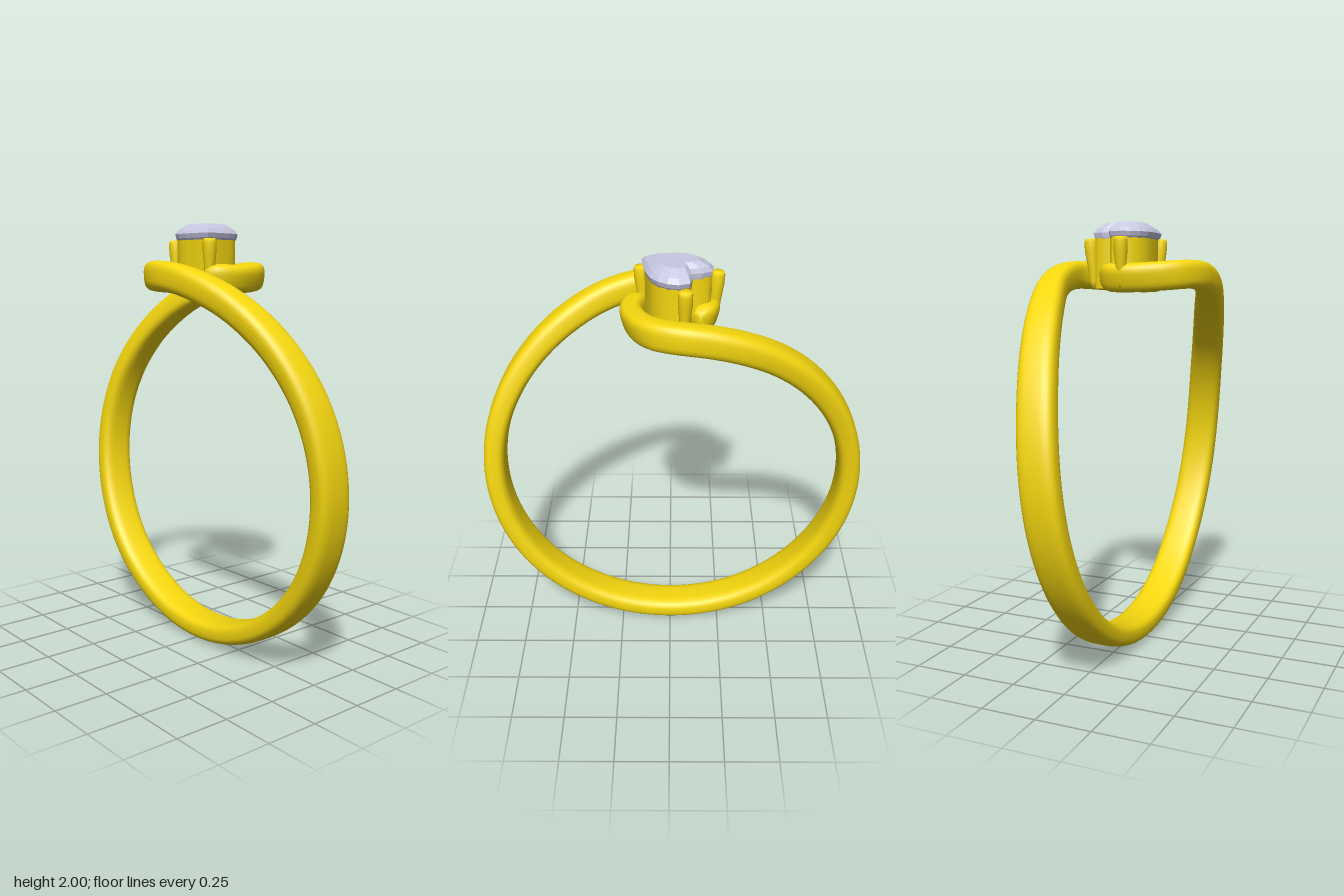
import * as THREE from 'three';

const GOLD = new THREE.MeshStandardMaterial({ color: 0xf5d70f });
const GOLD_OPEN = new THREE.MeshStandardMaterial({ color: 0xf5d70f, side: THREE.DoubleSide });
const GEM = new THREE.MeshStandardMaterial({ color: 0xc8c8e2, flatShading: true });
const CENTRE_Y = 0.905, MID_R = 0.86;

// Half of the band as [arc length from the top, z, half width]; the other half is its half-turn.
const HALF_BAND = [
  [-0.115, -0.10, 0.045], [-0.15, -0.05, 0.048], [-0.165, 0.02, 0.05], [-0.152, 0.1, 0.05],
  [-0.115, 0.185, 0.05], [-0.055, 0.25, 0.052], [0.04, 0.286, 0.054], [0.16, 0.287, 0.058],
  [0.31, 0.263, 0.064], [0.516, 0.205, 0.074], [0.76, 0.14, 0.08], [1.015, 0.085, 0.084],
  [1.35, 0.04, 0.087], [1.89, 0.003, 0.09], [2.3, 0, 0.09],
];

function bandGeometry() {
  const turn = 2 * Math.PI * MID_R;
  const pts = HALF_BAND.map((p) => new THREE.Vector3(...p));
  pts.push(new THREE.Vector3(turn / 2, 0, 0.09));
  for (const [s, z, w] of [...HALF_BAND].reverse()) pts.push(new THREE.Vector3(turn - s, -z, w));
  const path = new THREE.CatmullRomCurve3(pts);
  const N = 260, M = 28, pos = [], idx = [];
  const signedPow = (v, e) => Math.sign(v) * Math.abs(v) ** e;
  const put = (s, z, r) => {
    const u = s / MID_R;
    pos.push(r * Math.sin(u), CENTRE_Y + r * Math.cos(u), z);
  };
  for (let i = 0; i <= N; i++) {
    const p = path.getPointAt(i / N), t = path.getTangentAt(i / N);
    const len = Math.hypot(t.x, t.y);
    const lx = -t.y / len, lz = t.x / len;
    // rounded ends
    const e = Math.min(i, N - i);
    const k = e < 3 ? [0.55, 0.82, 0.95][e] : 1;
    const top = Math.max(0, Math.cos(p.x / MID_R)) ** 2;
    const rIn = 0.80 - 0.005 * top, rOut = 0.905 + 0.02 * top;
    const mid = (rIn + rOut) / 2, half = (rOut - rIn) / 2;
    for (let j = 0; j < M; j++) {
      const a = (j / M) * 2 * Math.PI;
      const side = signedPow(Math.cos(a), 0.6) * p.z * k;
      const rad = signedPow(Math.sin(a), 0.7) * half * k;
      put(p.x + lx * side, p.y + lz * side, mid + rad);
    }
  }
  for (let i = 0; i < N; i++) {
    for (let j = 0; j < M; j++) {
      const a = i * M + j, b = i * M + (j + 1) % M;
      idx.push(a, a + M, b, b, a + M, b + M);
    }
  }
  // end caps
  for (let j = 1; j < M - 1; j++) {
    idx.push(0, j, j + 1);
    idx.push(N * M, N * M + j + 1, N * M + j);
  }
  const g = new THREE.BufferGeometry();
  g.setAttribute('position', new THREE.Float32BufferAttribute(pos, 3));
  g.setIndex(idx);
  g.computeVertexNormals();
  return g;
}

// Heart outline: [along the axis from notch to tip, across], turned to point to front left.
const HEART = [[-0.07, 0], [-0.11, 0.04], [-0.125, 0.085], [-0.095, 0.125],
  [-0.03, 0.145], [0.04, 0.13], [0.12, 0.07], [0.19, 0]];
const HEART_X = -0.03, HEART_Z = -0.03;

function heartPoints(perSide, scale) {
  const curve = new THREE.CatmullRomCurve3(HEART.map(([a, b]) => new THREE.Vector3(a, b, 0)));
  const half = curve.getSpacedPoints(perSide);
  const other = half.slice(1, -1).reverse().map((p) => new THREE.Vector3(p.x, -p.y, 0));
  // returned as (x, -z) so that an extrusion can be laid flat
  return [...half, ...other].map(({ x: a, y: b }) => new THREE.Vector2(
    HEART_X + scale * (0.8 * a + 0.6 * b), -(HEART_Z + scale * (0.6 * a - 0.8 * b))));
}

function settingGeometry() {
  const shape = new THREE.Shape(heartPoints(28, 0.94));
  shape.holes.push(new THREE.Path(heartPoints(28, 0.7)));
  const g = new THREE.ExtrudeGeometry(shape, { depth: 0.235, bevelEnabled: false });
  g.rotateX(-Math.PI / 2);
  g.translate(0, 1.7, 0);
  return g;
}

// Faceted heart stone: table, crown, girdle and a pavilion hidden in the setting.
function gemGeometry() {
  const rings = [[0.25, 1.76], [0.98, 1.935], [1.02, 1.955], [0.9, 1.975], [0.6, 2.0]];
  const pos = [], idx = [];
  let n = 0;
  for (const [scale, y] of rings) {
    const pts = heartPoints(10, scale);
    n = pts.length;
    for (const p of pts) pos.push(p.x, y, -p.y);
  }
  // flip the winding when the outline runs the other way
  const flip = THREE.ShapeUtils.area(heartPoints(10, 1)) < 0;
  const tri = (a, b, c) => (flip ? idx.push(a, c, b) : idx.push(a, b, c));
  for (let r = 0; r < rings.length - 1; r++) {
    for (let j = 0; j < n; j++) {
      const a = r * n + j, b = r * n + (j + 1) % n;
      tri(a, b, a + n);
      tri(b, b + n, a + n);
    }
  }
  const last = (rings.length - 1) * n;
  for (const [a, b, c] of THREE.ShapeUtils.triangulateShape(heartPoints(10, 0.6), [])) {
    idx.push(last + a, last + b, last + c);
    const up = new THREE.Vector3(), v = [a, b, c].map((k) => new THREE.Vector3().fromArray(pos, 3 * (last + k)));
    up.crossVectors(v[1].clone().sub(v[0]), v[2].clone().sub(v[0]));
    if (up.y < 0) idx.push(...idx.splice(-3).reverse());
  }
  const g = new THREE.BufferGeometry();
  g.setAttribute('position', new THREE.Float32BufferAttribute(pos, 3));
  g.setIndex(idx);
  const flat = g.toNonIndexed();
  flat.computeVertexNormals();
  return flat;
}

// Claw that swells and leans outward towards its top.
function prongGeometry() {
  const profile = [[0, 0], [0.012, 0.004], [0.02, 0.03], [0.024, 0.1], [0.031, 0.17],
    [0.031, 0.215], [0.026, 0.23], [0, 0.232]];
  return new THREE.LatheGeometry(profile.map(([x, y]) => new THREE.Vector2(x, y)), 16);
}

export function createModel() {
  const ring = new THREE.Group();
  ring.name = 'ring';
  const add = (name, geometry, material) => {
    const m = new THREE.Mesh(geometry, material);
    m.name = name;
    ring.add(m);
    return m;
  };
  add('band', bandGeometry(), GOLD);
  add('setting', settingGeometry(), GOLD_OPEN);
  add('gem', gemGeometry(), GEM);

  // two claws at the lobes, one at the tip
  for (const [name, x, z] of [['backProng', -0.065, -0.197], ['sideProng', -0.208, 0.022], ['tipProng', 0.13, 0.082]]) {
    const prong = add(name, prongGeometry(), GOLD);
    const dx = x - HEART_X, dz = z - HEART_Z, d = Math.hypot(dx, dz);
    prong.position.set(x - 0.02 * dx / d, 1.7, z - 0.02 * dz / d);
    prong.rotation.set(0.08 * dz / d, 0, -0.08 * dx / d);
  }
  return ring;
}
